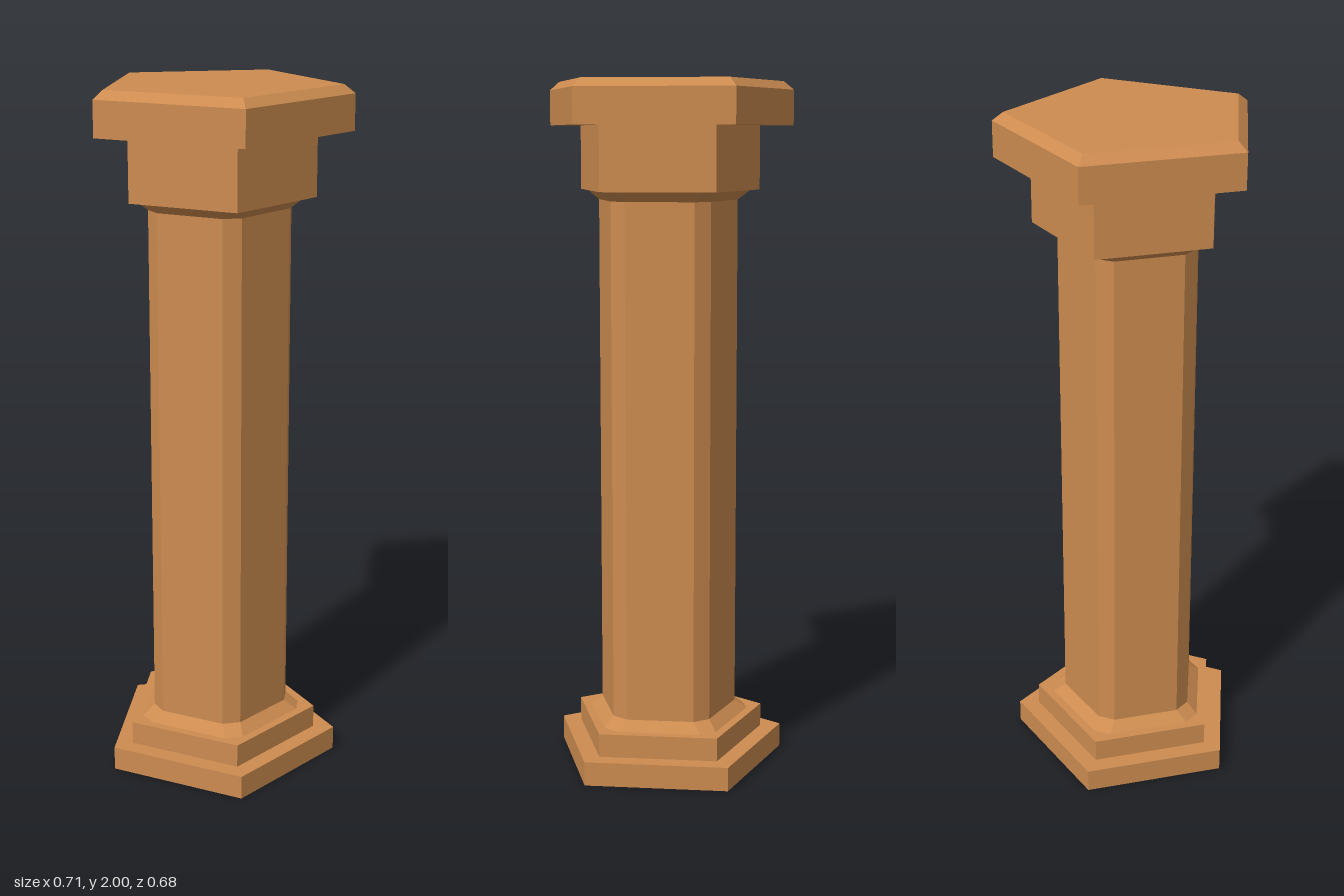
import * as THREE from 'three';

const SIDES = 5;
const STEP = (Math.PI * 2) / SIDES;
const START = STEP / 2; // flat side to the front, one corner to the back
const CENTRE_Z = 0.035; // the pentagon's own centre lies ahead of its bounding-box centre

const material = new THREE.MeshStandardMaterial({ color: 0xcd8c50, flatShading: true });

function add(group, name, geometry) {
  const mesh = new THREE.Mesh(geometry, material);
  mesh.name = name;
  mesh.position.z = CENTRE_Z;
  group.add(mesh);
}

// Pentagonal slab between two heights, optionally tapered
function slab(y0, y1, r0, r1 = r0) {
  const g = new THREE.CylinderGeometry(r1, r0, y1 - y0, SIDES, 1, false, START);
  return g.translate(0, (y0 + y1) / 2, 0);
}

// Pentagon outline with each corner cut back along both edges
function cutPentagon(radius, cut) {
  const corner = (i) => new THREE.Vector2(Math.sin(START + i * STEP), Math.cos(START + i * STEP)).multiplyScalar(radius);
  const t = cut / (2 * radius * Math.sin(STEP / 2));
  const points = [];
  for (let i = 0; i < SIDES; i++) {
    const c = corner(i);
    points.push(c.clone().lerp(corner(i - 1), t), c.clone().lerp(corner(i + 1), t));
  }
  return points;
}

// Side walls joining two cut-corner pentagons
function cutPrism(y0, y1, r0, r1 = r0, cut = 0.033) {
  const low = cutPentagon(r0, cut);
  const high = cutPentagon(r1, cut);
  const positions = [];
  const n = low.length;
  for (let i = 0; i < n; i++) {
    const j = (i + 1) % n;
    const a = [low[i].x, y0, low[i].y];
    const b = [low[j].x, y0, low[j].y];
    const c = [high[j].x, y1, high[j].y];
    const d = [high[i].x, y1, high[i].y];
    positions.push(...a, ...b, ...c, ...a, ...c, ...d);
  }
  const g = new THREE.BufferGeometry();
  g.setAttribute('position', new THREE.Float32BufferAttribute(positions, 3));
  g.computeVertexNormals();
  return g;
}

export function createModel() {
  const column = new THREE.Group();
  column.name = 'column';

  // Stepped base
  add(column, 'plinth', slab(0, 0.07, 0.352));
  add(column, 'baseStep', slab(0.07, 0.138, 0.291));
  add(column, 'baseFlare', cutPrism(0.138, 0.166, 0.26, 0.2225));

  // Shaft with chamfered corners
  add(column, 'shaft', cutPrism(0.166, 1.664, 0.2225));

  // Capital
  add(column, 'capitalFlare', cutPrism(1.664, 1.692, 0.2225, 0.26));
  add(column, 'capitalBlock', slab(1.692, 1.875, 0.275));
  add(column, 'abacus', slab(1.875, 1.976, 0.375));
  add(column, 'abacusBevel', slab(1.976, 2, 0.375, 0.344));

  return column;
}
